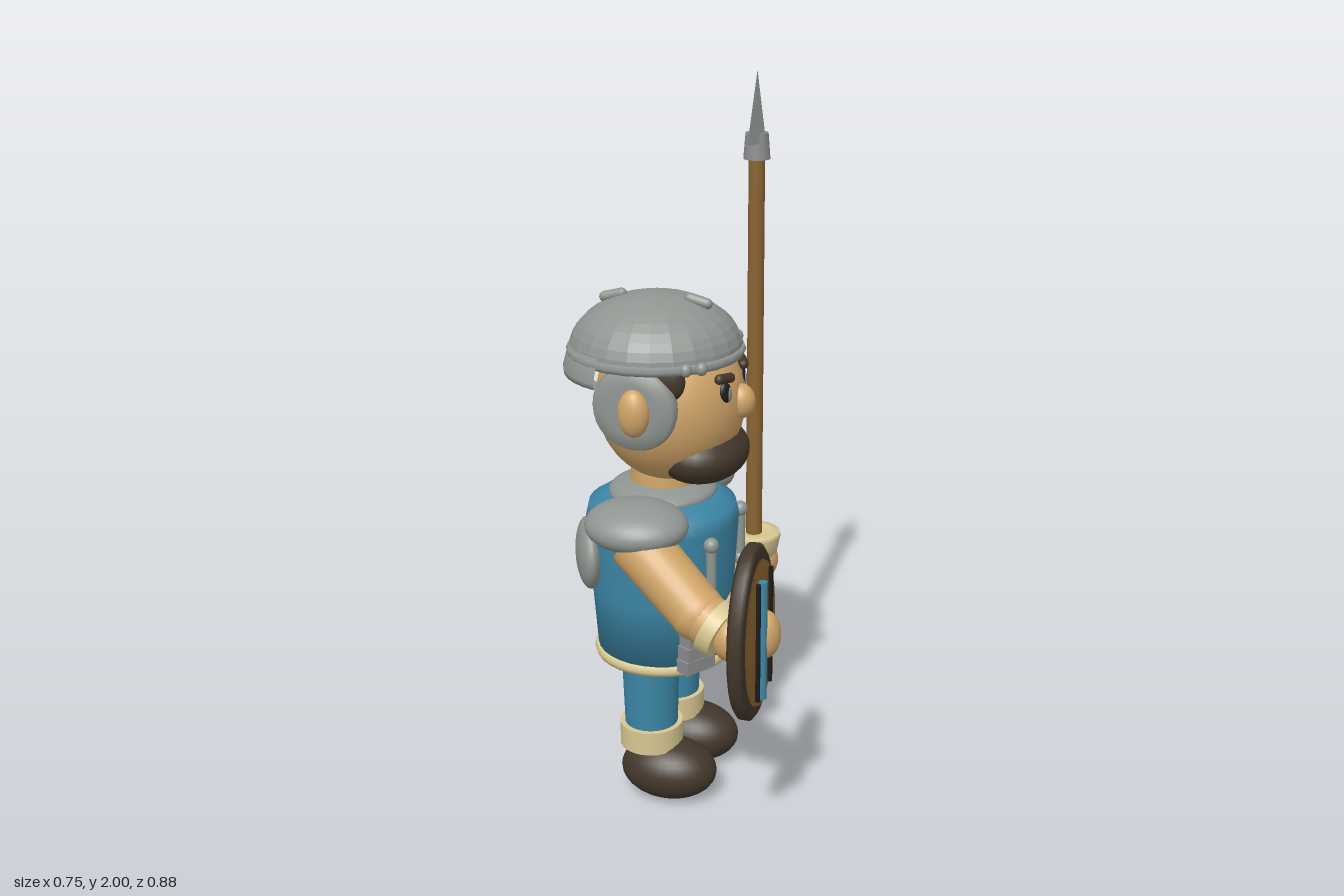
import * as THREE from 'three';

const mat = (name, color) => Object.assign(new THREE.MeshStandardMaterial({ color }), { name });

export function createModel() {
  const skin = mat('skin', 0xd0a468), steel = mat('steel', 0x8f9590), blue = mat('blue cloth', 0x3c86a6);
  const cream = mat('cream trim', 0xd8c792), dark = mat('dark brown', 0x43372b), wood = mat('wood', 0x896331);
  const black = mat('black', 0x1e1b18), iron = mat('iron', 0x8b8c8e);
  const model = new THREE.Group();
  // The figure stands turned towards its left
  const body = new THREE.Group();
  body.name = 'soldier';
  body.position.set(-0.085, 0, -0.156);
  body.rotation.y = Math.PI / 4;
  model.add(body);

  const add = (name, geo, material, x = 0, y = 0, z = 0, parent = body) => {
    const m = new THREE.Mesh(geo, material);
    m.name = name;
    m.position.set(x, y, z);
    parent.add(m);
    return m;
  };
  const blob = (name, material, x, y, z, rx, ry, rz, parent = body) => {
    const m = add(name, new THREE.SphereGeometry(1, 28, 18), material, x, y, z, parent);
    m.scale.set(rx, ry, rz);
    return m;
  };
  const tube = (name, material, rTop, rBottom, y0, y1, x = 0, z = 0, parent = body) =>
    add(name, new THREE.CylinderGeometry(rTop, rBottom, y1 - y0, 24), material, x, (y0 + y1) / 2, z, parent);
  const lathe = (pts, n = 32) => new THREE.LatheGeometry(pts.map(p => new THREE.Vector2(...p)), n);
  // Tapered limb between two points
  const limb = (name, material, a, b, ra, rb) => {
    const A = new THREE.Vector3(...a), B = new THREE.Vector3(...b), d = B.clone().sub(A);
    const m = add(name, new THREE.CylinderGeometry(rb, ra, d.length(), 24), material);
    m.position.copy(A).add(B).multiplyScalar(0.5);
    m.quaternion.setFromUnitVectors(new THREE.Vector3(0, 1, 0), d.normalize());
    return m;
  };
  const flat = geo => {
    const g = geo.toNonIndexed();
    g.computeVertexNormals();
    return g;
  };

  // Torso, collar and neck
  add('tunic', lathe([[0, 0.43], [0.187, 0.43], [0.2, 0.62], [0.214, 0.83], [0.205, 0.87], [0.15, 0.905], [0, 0.92]]), blue, 0, 0, -0.008);
  add('tunicHem', lathe([[0.17, 0.415], [0.193, 0.415], [0.198, 0.428], [0.193, 0.442], [0.17, 0.445]]), cream, 0, 0, -0.008);
  blob('collar', steel, 0, 0.905, -0.005, 0.158, 0.043, 0.15);
  tube('neck', skin, 0.09, 0.098, 0.9, 1.02);
  blob('buckle', skin, 0, 0.57, 0.19, 0.046, 0.042, 0.035);

  for (const s of [-1, 1]) {
    // Legs and boots
    tube('leg', blue, 0.082, 0.074, 0.18, 0.45, s * 0.1, -0.015);
    tube('legCuff', cream, 0.09, 0.09, 0.16, 0.23, s * 0.1, -0.015);
    blob('boot', dark, s * 0.11, 0.088, 0.04, 0.1, 0.088, 0.14);
    // Armour plates
    blob('shoulderPad', steel, s * 0.215, 0.878, -0.008, 0.115, 0.064, 0.143).rotation.z = -s * 0.12;
    blob('backPlate', steel, s * 0.094, 0.725, -0.194, 0.115, 0.1, 0.038).rotation.y = -s * 0.45;
    // Chest strap with studs
    tube('chestStrap', steel, 0.014, 0.014, 0.66, 0.81, s * 0.14, 0.178);
    for (const y of [0.66, 0.81]) blob('strapStud', steel, s * 0.14, y, 0.178, 0.021, 0.022, 0.021);
    // Hip plates
    for (let i = 0; i < 3; i++)
      add('hipPlate', new THREE.BoxGeometry(0.1, 0.038, 0.045), iron, s * 0.155, 0.46 + i * 0.042, 0.137 + i * 0.004).rotation.y = s * 0.55;
    // Ear guard, ear, sideburn
    const guard = add('earGuard', lathe([[0, -0.025], [0.112, -0.025], [0.117, 0], [0.108, 0.02], [0.07, 0.028], [0, 0.028]]), steel, s * 0.2, 1.2, -0.012);
    guard.rotation.z = -s * Math.PI / 2;
    blob('ear', skin, s * 0.228, 1.195, -0.005, 0.034, 0.065, 0.043);
    blob('sideburn', dark, s * 0.178, 1.275, 0.06, 0.03, 0.06, 0.06);
    // Eyes and brows
    blob('eyeRim', black, s * 0.078, 1.222, 0.196, 0.022, 0.032, 0.014).rotation.y = s * 0.4;
    blob('eye', iron, s * 0.075, 1.22, 0.207, 0.011, 0.02, 0.007).rotation.y = s * 0.4;
    const brow = add('brow', new THREE.CapsuleGeometry(0.014, 0.042, 4, 10), dark, s * 0.083, 1.265, 0.198);
    brow.rotation.set(0, s * 0.42, Math.PI / 2 + s * 0.1);
    // Helmet rivets
    for (const d of [0, 0.17]) blob('helmetRivet', steel, s * (0.165 + d * 0.15), 1.312, 0.16 - d * 0.2, 0.016, 0.018, 0.016);
  }

  // Head
  blob('head', skin, 0, 1.17, 0.02, 0.205, 0.225, 0.205);
  blob('nose', skin, 0, 1.18, 0.218, 0.039, 0.048, 0.04);
  blob('beard', dark, 0, 1.032, 0.11, 0.158, 0.086, 0.127);

  // Helmet with brim, neck guard and crest studs
  const dome = add('helmetDome', flat(new THREE.SphereGeometry(1, 24, 10, 0, Math.PI * 2, 0, Math.PI / 2)), steel, 0, 1.31, -0.02);
  dome.scale.set(0.235, 0.152, 0.235);
  add('helmetBrim', lathe([[0.18, 1.298], [0.238, 1.298], [0.243, 1.309], [0.238, 1.322], [0.2, 1.325]], 24), steel, 0, 0, -0.02);
  const guardProfile = [[0.195, 1.25], [0.25, 1.25], [0.252, 1.265], [0.234, 1.33], [0.2, 1.33]].map(p => new THREE.Vector2(...p));
  add('neckGuard', new THREE.LatheGeometry(guardProfile, 14, Math.PI * 0.62, Math.PI * 0.76), steel, 0, 0, -0.02).material.side = THREE.DoubleSide;
  for (const [z, y] of [[-0.14, 1.445], [0.1, 1.446]]) {
    const stud = add('crestStud', new THREE.CapsuleGeometry(0.015, 0.05, 4, 10), steel, 0, y, z);
    stud.rotation.x = Math.PI / 2 + Math.sign(z) * 0.25;
  }

  // Left arm, bent towards the spear
  limb('leftUpperArm', skin, [0.225, 0.86, -0.01], [0.255, 0.55, 0.015], 0.074, 0.072);
  blob('leftElbow', skin, 0.255, 0.545, 0.015, 0.072, 0.07, 0.072);
  limb('leftForearm', skin, [0.255, 0.54, 0.015], [0.308, 0.505, 0.1], 0.07, 0.062);

  // Spear with the gripping hand
  const spear = new THREE.Group();
  spear.name = 'spear';
  spear.position.set(0.402, 0, 0.145);
  body.add(spear);
  tube('spearShaft', wood, 0.023, 0.025, 0.15, 1.8, 0, 0, spear);
  tube('spearFoot', iron, 0.031, 0.031, 0.132, 0.208, 0, 0, spear);
  tube('spearSocket', iron, 0.032, 0.038, 1.757, 1.83, 0, 0, spear);
  tube('gripRing', black, 0.03, 0.03, 0.447, 0.457, 0, 0, spear);
  const tip = add('spearTip', flat(new THREE.ConeGeometry(1, 0.195, 4)), steel, 0, 1.9025, 0, spear);
  tip.scale.set(0.085, 1, 0.026);
  blob('leftHand', skin, 0, 0.54, 0, 0.075, 0.075, 0.075, spear);
  add('leftCuff', lathe([[0.05, 0.565], [0.07, 0.565], [0.081, 0.62], [0.078, 0.632], [0.05, 0.635], [0, 0.62]]), cream, 0, 0, 0, spear);

  // Right arm, reaching forward to the shield
  limb('rightUpperArm', skin, [-0.235, 0.84, 0.0], [-0.305, 0.69, 0.19], 0.08, 0.074);
  blob('rightElbow', skin, -0.305, 0.69, 0.19, 0.075, 0.075, 0.075);
  limb('rightForearm', skin, [-0.305, 0.69, 0.19], [-0.322, 0.655, 0.26], 0.072, 0.066);
  limb('rightCuff', cream, [-0.315, 0.665, 0.235], [-0.324, 0.65, 0.27], 0.08, 0.074);
  blob('rightHand', skin, -0.327, 0.645, 0.29, 0.066, 0.066, 0.05);

  // Oval shield
  const shield = new THREE.Group();
  shield.name = 'shield';
  shield.position.set(-0.33, 0.666, 0.343);
  body.add(shield);
  const oval = (name, material, rx, ry, pts, z) => {
    const m = add(name, lathe(pts, 40), material, 0, 0, z, shield);
    m.rotation.x = Math.PI / 2;
    m.scale.set(rx, 1, ry);
  };
  oval('shieldRim', dark, 0.157, 0.245, [[0, -0.022], [0.94, -0.022], [1, -0.012], [1, 0.012], [0.94, 0.022], [0, 0.022]], 0);
  oval('shieldFace', wood, 0.13, 0.204, [[0, 0], [1, 0], [0.98, 0.01], [0, 0.012]], 0.021);
  blob('shieldBoss', skin, 0, 0, 0.04, 0.044, 0.066, 0.04, shield);
  for (const x of [-0.06, 0.06]) tube('shieldBar', black, 0.007, 0.007, -0.165, 0.165, x, 0.036, shield);
  tube('shieldStripe', blue, 0.012, 0.012, -0.165, 0.165, -0.038, 0.042, shield);

  return model;
}
